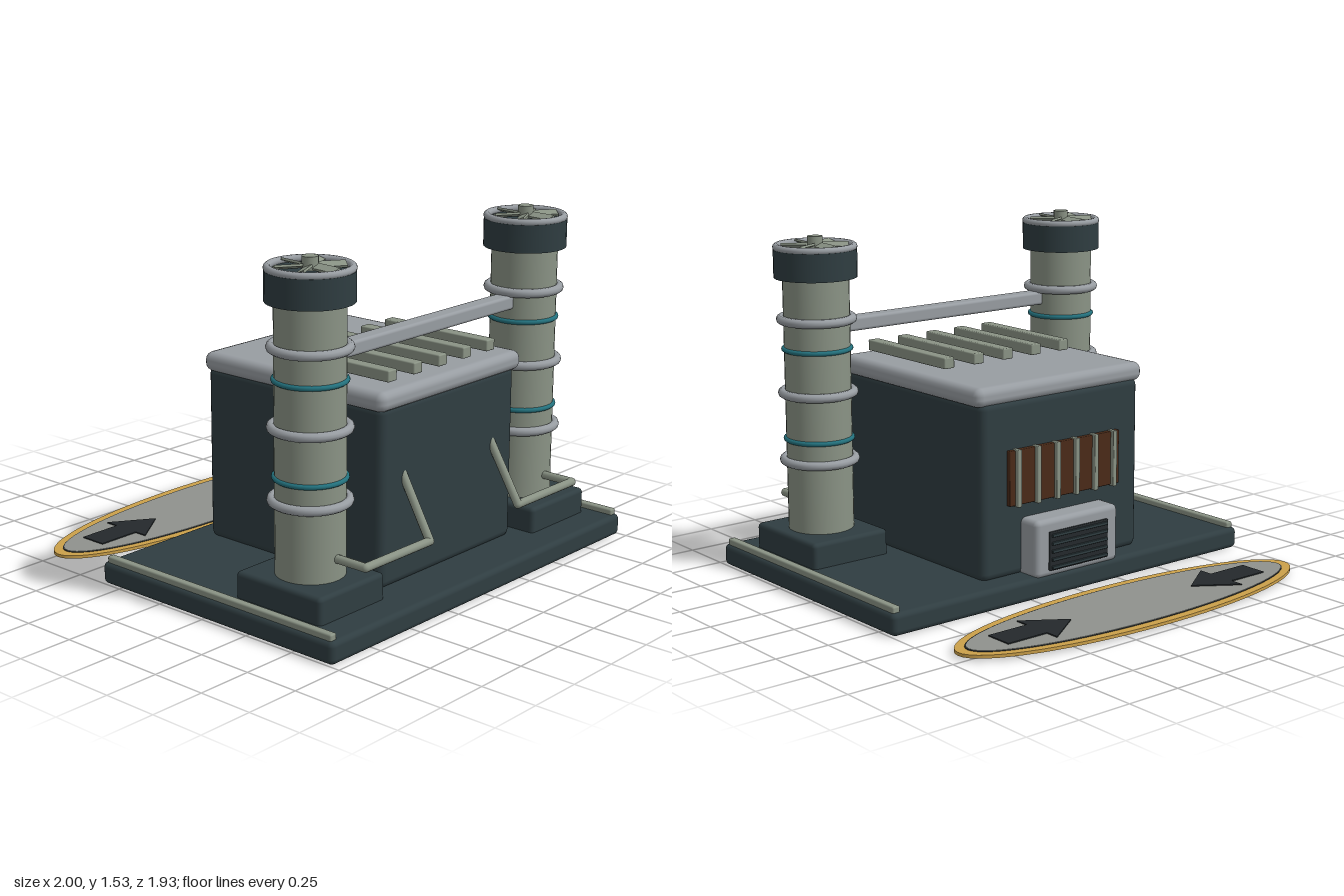
import * as THREE from 'three';
import { RoundedBoxGeometry } from 'three/addons/geometries/RoundedBoxGeometry.js';

const mat = (color) => new THREE.MeshStandardMaterial({ color });
const M = {
  dark: mat(0x2f3d41), metal: mat(0x989da2), pale: mat(0x8a9385), teal: mat(0x23717d),
  gold: mat(0xcba04a), floor: mat(0x8f928d), black: mat(0x24292c), rust: mat(0x4a2a18),
};

function add(parent, name, geometry, material, x = 0, y = 0, z = 0) {
  const mesh = new THREE.Mesh(geometry, material);
  mesh.name = name;
  mesh.position.set(x, y, z);
  parent.add(mesh);
  return mesh;
}

// Rounded box given by its minimum and maximum corners
function block(parent, name, material, [x0, y0, z0], [x1, y1, z1], radius) {
  const geometry = new RoundedBoxGeometry(x1 - x0, y1 - y0, z1 - z0, 2, radius);
  return add(parent, name, geometry, material, (x0 + x1) / 2, (y0 + y1) / 2, (z0 + z1) / 2);
}

// Horizontal torus with the given outer radius
function ring(parent, name, material, outer, tube, y) {
  const geometry = new THREE.TorusGeometry(outer - tube, tube, 10, 40).rotateX(Math.PI / 2);
  return add(parent, name, geometry, material, 0, y, 0);
}

// Straight pipe sections with ball joints
function pipe(parent, name, points, radius) {
  const group = new THREE.Group();
  group.name = name;
  points.forEach((p, i) => {
    if (i > 0 && i < points.length - 1) add(group, 'pipeJoint', new THREE.SphereGeometry(radius, 12, 8), M.pale, p.x, p.y, p.z);
    if (i === 0) return;
    const dir = p.clone().sub(points[i - 1]);
    const mid = p.clone().add(points[i - 1]).multiplyScalar(0.5);
    const section = add(group, 'pipeSection', new THREE.CylinderGeometry(radius, radius, dir.length(), 10), M.pale, mid.x, mid.y, mid.z);
    section.quaternion.setFromUnitVectors(new THREE.Vector3(0, 1, 0), dir.normalize());
  });
  parent.add(group);
}

function makeTower() {
  const tower = new THREE.Group();
  tower.name = 'tower';
  block(tower, 'towerFoot', M.dark, [-0.198, 0.08, -0.235], [0.198, 0.215, 0.23], 0.02);
  add(tower, 'towerShaft', new THREE.CylinderGeometry(0.147, 0.147, 1.2, 32), M.pale, 0, 0.78, 0);
  for (const y of [0.53, 0.835, 1.165]) ring(tower, 'towerBand', M.metal, 0.178, 0.02, y);
  for (const y of [0.627, 1.032]) ring(tower, 'glowBand', M.teal, 0.159, 0.011, y);

  // Cap, rim and fan
  add(tower, 'towerCap', new THREE.CylinderGeometry(0.184, 0.184, 0.125, 32), M.dark, 0, 1.412, 0);
  ring(tower, 'capRim', M.metal, 0.186, 0.016, 1.484);
  add(tower, 'fanHub', new THREE.CylinderGeometry(0.034, 0.034, 0.06, 16), M.pale, 0, 1.5, 0);
  for (let i = 0; i < 6; i++) {
    const arm = new THREE.Group();
    arm.name = 'fanBlade';
    arm.rotation.y = (i * Math.PI) / 3 + 0.45;
    arm.position.y = 1.49;
    add(arm, 'blade', new THREE.BoxGeometry(0.115, 0.01, 0.04), M.pale, 0.09, 0, 0).rotation.x = 0.4;
    tower.add(arm);
  }
  return tower;
}

function makeLandingPad() {
  const pad = new THREE.Group();
  pad.name = 'entryPad';
  pad.position.z = -0.71;
  const oval = (name, material, rx, rz, h, y) =>
    add(pad, name, new THREE.CylinderGeometry(1, 1, h, 64).scale(rx, 1, rz), material, 0, y, 0);
  oval('padBorder', M.gold, 0.943, 0.259, 0.014, 0.019);
  oval('padSeam', M.black, 0.896, 0.22, 0.014, 0.021);
  oval('padFloor', M.floor, 0.89, 0.215, 0.014, 0.023);

  // Arrows pointing inwards
  const shape = new THREE.Shape(
    [[-0.738, -0.064], [-0.535, -0.064], [-0.535, -0.128], [-0.348, 0], [-0.535, 0.128], [-0.535, 0.064], [-0.738, 0.064]]
      .map(([x, y]) => new THREE.Vector2(x, y)));
  for (const turn of [0, Math.PI]) {
    const geometry = new THREE.ExtrudeGeometry(shape, { depth: 0.006, bevelEnabled: false })
      .rotateX(-Math.PI / 2).rotateY(turn);
    add(pad, 'padArrow', geometry, M.black, 0, 0.029, 0);
  }
  return pad;
}

export function createModel() {
  const model = new THREE.Group();
  model.name = 'powerPlant';

  // Base, main building and roof
  block(model, 'basePlate', M.dark, [-1, 0, -0.355], [1, 0.1, 0.965], 0.025);
  block(model, 'mainBuilding', M.dark, [-0.45, 0.09, -0.25], [0.45, 0.88, 0.745], 0.035);
  block(model, 'roofSlab', M.metal, [-0.474, 0.86, -0.253], [0.474, 0.947, 0.765], 0.036);
  for (let i = -2; i <= 2; i++) {
    block(model, 'roofRib', M.pale, [i * 0.165 - 0.028, 0.96, 0.125], [i * 0.165 + 0.028, 1.01, 0.7], 0.006);
  }

  // Towers, pipes and edge rails, mirrored left and right
  for (const s of [-1, 1]) {
    const tower = makeTower();
    tower.position.set(s * 0.71, 0, 0.59);
    model.add(tower);
    pipe(model, 'coolantPipe', [
      new THREE.Vector3(s * 0.71, 0.308, 0.7),
      new THREE.Vector3(s * 0.71, 0.308, 0.885),
      new THREE.Vector3(s * 0.305, 0.308, 0.885),
      new THREE.Vector3(s * 0.3, 0.58, 0.725),
    ], 0.019);
    block(model, 'edgeRail', M.pale, [s * 0.968 - 0.018, 0.085, -0.335], [s * 0.968 + 0.018, 0.125, 0.945], 0.008);
  }
  block(model, 'crossBeam', M.metal, [-0.58, 1.088, 0.558], [0.58, 1.152, 0.638], 0.014);

  // Glowing vent with upright bars on the back wall
  block(model, 'ventPanel', M.rust, [-0.315, 0.415, -0.272], [0.315, 0.66, -0.24], 0.004);
  for (let i = 0; i < 6; i++) {
    const x = (i - 2.5) * 0.11;
    block(model, 'ventBar', M.pale, [x - 0.011, 0.41, -0.292], [x + 0.011, 0.665, -0.25], 0.004);
  }

  // Service unit with a slatted grille
  block(model, 'serviceUnit', M.metal, [-0.237, 0.09, -0.355], [0.237, 0.35, -0.2], 0.025);
  block(model, 'grillePanel', M.black, [-0.168, 0.12, -0.366], [0.168, 0.295, -0.33], 0.004);
  for (let i = 0; i < 5; i++) {
    const y = 0.135 + i * 0.036;
    block(model, 'grilleSlat', M.dark, [-0.16, y - 0.007, -0.376], [0.16, y + 0.007, -0.36], 0.003);
  }

  model.add(makeLandingPad());
  return model;
}
